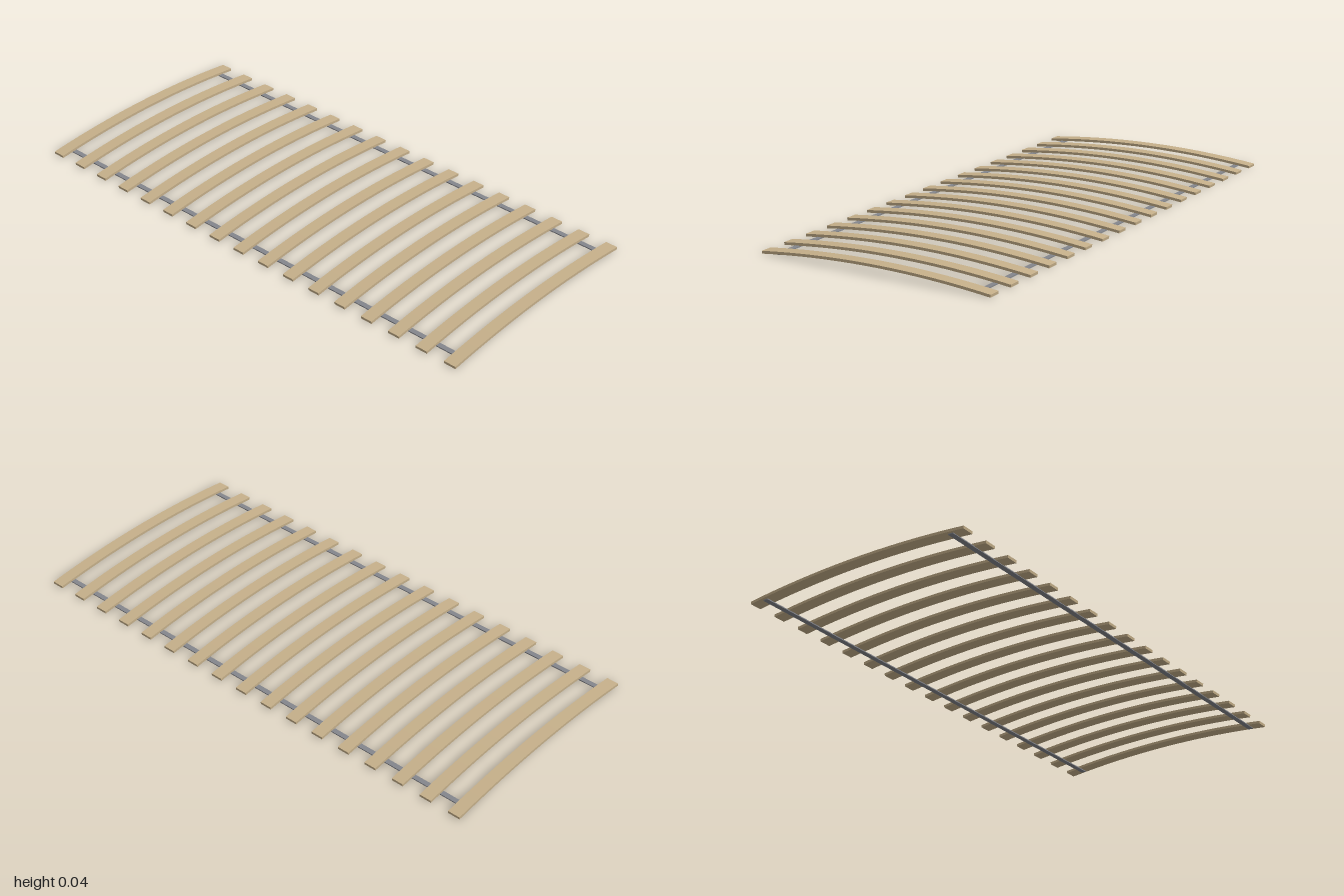
import * as THREE from 'three';

const SLATS = 17, PITCH = 0.122, DEPTH = 0.048;
const HALF = 0.465, RISE = 0.027, THICK = 0.01;

// Gently bowed slat: a thin arc band extruded along z
function slatGeometry() {
  const R = (HALF * HALF + RISE * RISE) / (2 * RISE);
  const a = Math.asin(HALF / R);
  const cy = 0.0333 - R;
  const shape = new THREE.Shape();
  shape.absarc(0, cy, R + THICK / 2, Math.PI / 2 + a, Math.PI / 2 - a, true);
  shape.absarc(0, cy, R - THICK / 2, Math.PI / 2 - a, Math.PI / 2 + a, false);
  shape.closePath();
  const g = new THREE.ExtrudeGeometry(shape, { depth: DEPTH, bevelEnabled: false, curveSegments: 16 });
  g.translate(0, 0, -DEPTH / 2);
  return g;
}

export function createModel() {
  const group = new THREE.Group();
  group.name = 'slattedBase';
  const wood = new THREE.MeshStandardMaterial({ color: 0xc6b08a });
  wood.name = 'lightWood';
  const webbing = new THREE.MeshStandardMaterial({ color: 0x84868c });
  webbing.name = 'greyWebbing';

  // Evenly spaced slats
  const geo = slatGeometry();
  for (let i = 0; i < SLATS; i++) {
    const slat = new THREE.Mesh(geo, wood);
    slat.name = `slat${i + 1}`;
    slat.position.z = (i - (SLATS - 1) / 2) * PITCH;
    group.add(slat);
  }

  // Straps joining the slats underneath, one near each end
  const strapGeo = new THREE.BoxGeometry(0.02, 0.004, 1.98);
  for (const side of [-1, 1]) {
    const strap = new THREE.Mesh(strapGeo, webbing);
    strap.name = side > 0 ? 'leftStrap' : 'rightStrap';
    strap.position.set(side * 0.405, 0.006, 0);
    group.add(strap);
  }
  return group;
}
